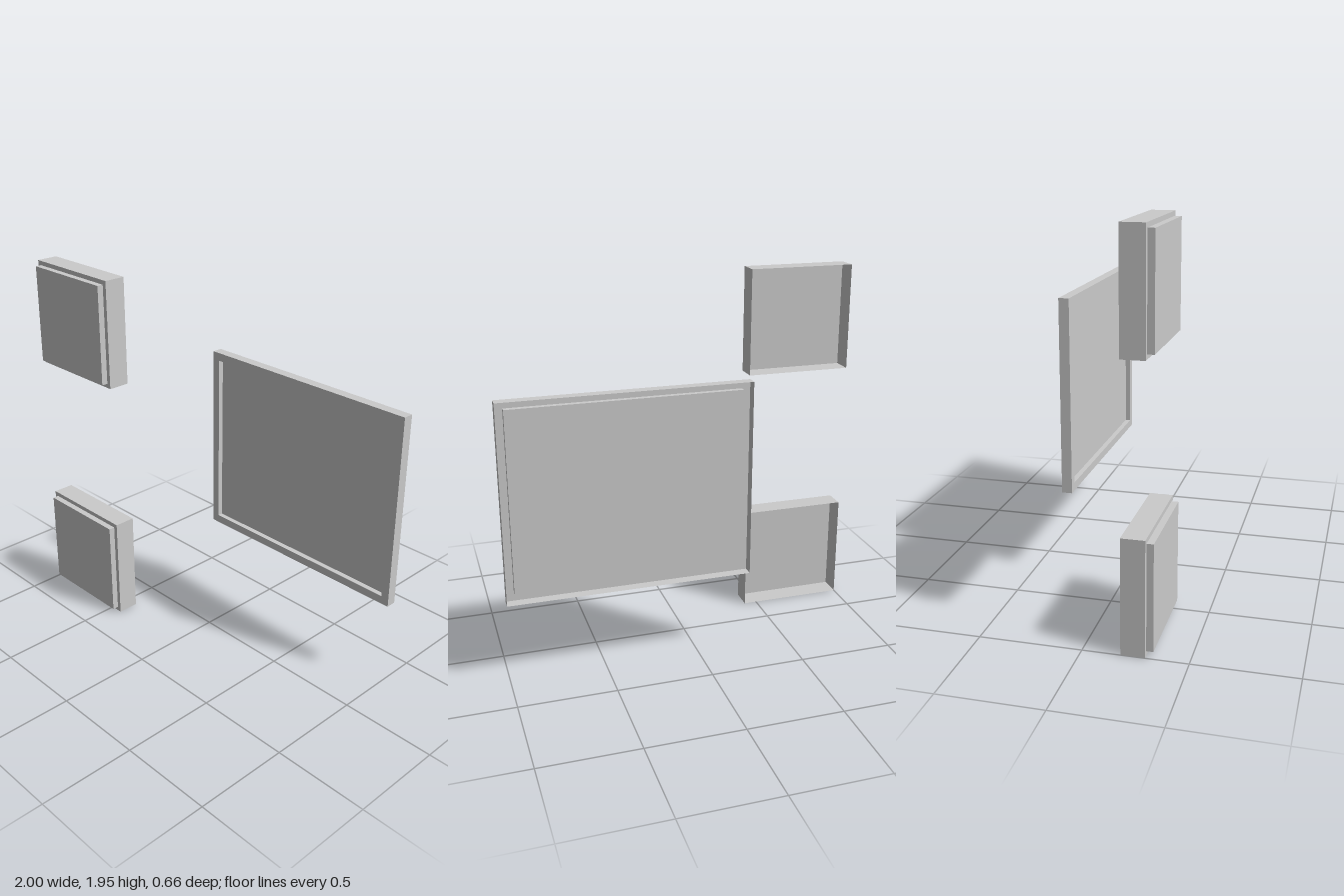
import * as THREE from 'three';

const material = new THREE.MeshStandardMaterial({ color: 0xcccccc, flatShading: true, side: THREE.DoubleSide });

// Thin shell open at the back: rectangular rings [width, height, z] joined in order, the last one capped
function shell(name, rings) {
  const loops = rings.map(([w, h, z]) =>
    [[-1, -1], [1, -1], [1, 1], [-1, 1]].map(([sx, sy]) => [sx * w / 2, sy * h / 2, z]));
  const positions = [];
  const quad = (a, b, c, d) => positions.push(...a, ...b, ...c, ...a, ...c, ...d);
  for (let r = 0; r < loops.length - 1; r++) {
    for (let i = 0; i < 4; i++) {
      const j = (i + 1) % 4;
      quad(loops[r][i], loops[r][j], loops[r + 1][j], loops[r + 1][i]);
    }
  }
  quad(...loops[loops.length - 1]);
  const geometry = new THREE.BufferGeometry();
  geometry.setAttribute('position', new THREE.Float32BufferAttribute(positions, 3));
  geometry.computeVertexNormals();
  const mesh = new THREE.Mesh(geometry, material);
  mesh.name = name;
  return mesh;
}

// Hollow cabinet with a raised grille on its front plate
function createSpeaker(name) {
  const speaker = new THREE.Group();
  speaker.name = name;
  const size = 0.57, inset = 0.023, back = 0.182, front = 0.297, grilleFront = 0.33;
  const inner = size - 2 * inset;
  speaker.add(
    shell('cabinet', [[size, size, back], [size, size, front]]),
    shell('grille', [[inner, inner, front], [inner, inner, grilleFront]]));
  return speaker;
}

export function createModel() {
  const model = new THREE.Group();
  model.name = 'screenAndSpeakers';

  // Two speakers, one above the other
  [['lowerSpeaker', 0.285], ['upperSpeaker', 1.66]].forEach(([name, y]) => {
    const speaker = createSpeaker(name);
    speaker.position.set(-0.715, y, 0);
    model.add(speaker);
  });

  // Screen: outer frame, front border and recessed panel
  const w = 1.256, h = 1.026, border = 0.043, back = -0.33, front = -0.276, panel = -0.304;
  const iw = w - 2 * border, ih = h - 2 * border;
  const screen = shell('screen', [[w, h, back], [w, h, front], [iw, ih, front], [iw, ih, panel]]);
  screen.position.set(1 - w / 2, 0.974, 0);
  model.add(screen);

  return model;
}
